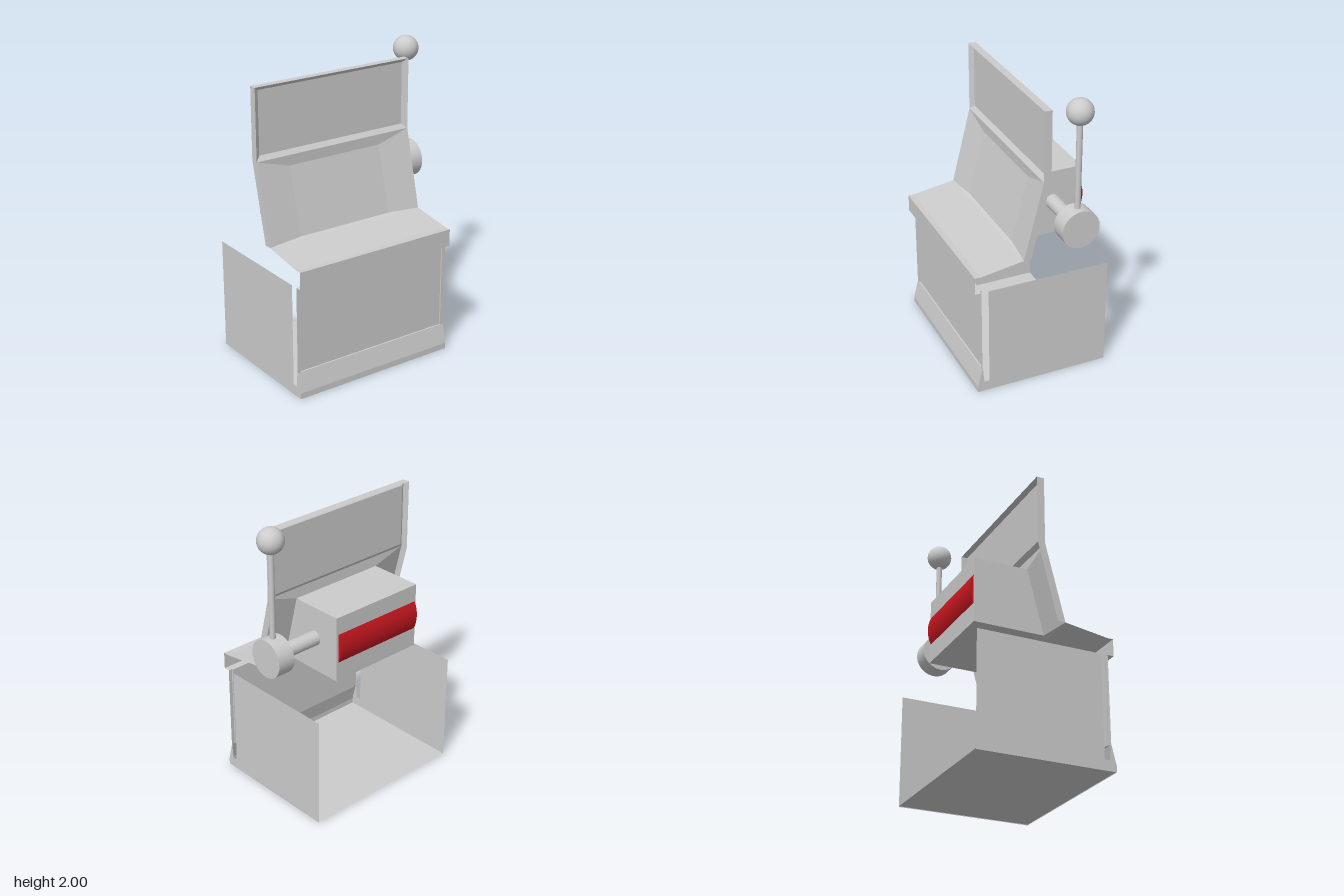
import * as THREE from 'three';

const L = -0.68, R = 0.48; // cabinet sides
const BL = -0.44, BR = 0.25; // reel housing sides
const grey = new THREE.MeshStandardMaterial({ color: 0xcccccc });
const sheetGrey = new THREE.MeshStandardMaterial({ color: 0xcccccc, side: THREE.DoubleSide });
const red = new THREE.MeshStandardMaterial({ color: 0xc4161f });

// Mesh from flat four-cornered faces
function faces(name, quads) {
  const pos = [];
  for (const [a, b, c, d] of quads) pos.push(...a, ...b, ...c, ...a, ...c, ...d);
  const geo = new THREE.BufferGeometry();
  geo.setAttribute('position', new THREE.Float32BufferAttribute(pos, 3));
  geo.computeVertexNormals();
  const mesh = new THREE.Mesh(geo, sheetGrey);
  mesh.name = name;
  return mesh;
}

// Folded sheet: a [z, y] profile swept from x0 to x1
function sheet(name, profile, x0, x1) {
  const quads = [];
  for (let i = 0; i < profile.length - 1; i++) {
    const [z0, y0] = profile[i], [z1, y1] = profile[i + 1];
    quads.push([[x0, y0, z0], [x1, y0, z0], [x1, y1, z1], [x0, y1, z1]]);
  }
  return faces(name, quads);
}

// Rectangle corners, with bottom and top given as [z, y]
const rect = (x0, x1, [zb, yb], [zt, yt]) =>
  [[x0, yb, zb], [x1, yb, zb], [x1, yt, zt], [x0, yt, zt]];

// Bevelled band between an outer and an inner rectangle
const band = (outer, inner) => outer.map((p, i) => {
  const j = (i + 1) % 4;
  return [p, outer[j], inner[j], inner[i]];
});

// Flat plate in the zy plane at x
function plate(name, profile, x) {
  const shape = new THREE.Shape(profile.map(([z, y]) => new THREE.Vector2(-z, y)));
  const mesh = new THREE.Mesh(new THREE.ShapeGeometry(shape), sheetGrey);
  mesh.rotation.y = Math.PI / 2;
  mesh.position.x = x;
  mesh.name = name;
  return mesh;
}

function cylinderX(name, radius, x0, x1, y, z, material, sides = 32) {
  const mesh = new THREE.Mesh(new THREE.CylinderGeometry(radius, radius, x1 - x0, sides), material);
  mesh.rotation.z = Math.PI / 2;
  mesh.position.set((x0 + x1) / 2, y, z);
  mesh.name = name;
  return mesh;
}

function lowerCabinet() {
  const g = new THREE.Group();
  g.name = 'lowerCabinet';
  g.add(sheet('floor', [[-0.46, 0.005], [0.45, 0.005]], L, R));

  // Side panels with a toe and a slot behind the front
  const side = [[-0.46, 0], [0.45, 0], [0.45, 0.04], [0.415, 0.18], [0.405, 0.07],
    [0.37, 0.07], [0.37, 0.75], [-0.46, 0.75]];
  g.add(plate('rightSidePanel', side, L), plate('leftSidePanel', side, R));

  // Kick plate, projecting ledge and sloping deck
  g.add(sheet('kickPlate', [[0.45, 0], [0.45, 0.04], [0.418, 0.17]], L, R));
  g.add(sheet('ledge', [[0.418, 0.75], [0.46, 0.75], [0.46, 0.865], [0.42, 0.865]], L, R));
  g.add(sheet('deck', [[0.42, 0.865], [0.13, 0.91]], L, R));

  // Recessed front door and its narrow frame
  const outer = rect(L + 0.025, R - 0.025, [0.418, 0.17], [0.418, 0.75]);
  const inner = rect(L + 0.025, R - 0.025, [0.408, 0.17], [0.408, 0.75]);
  g.add(faces('frontDoor', [inner, ...band(outer, inner)]));
  g.add(faces('doorFrame', [
    rect(L, L + 0.025, [0.418, 0.17], [0.418, 0.75]),
    rect(R - 0.025, R, [0.418, 0.17], [0.418, 0.75]),
  ]));
  return g;
}

function upperCabinet() {
  const g = new THREE.Group();
  g.name = 'upperCabinet';
  const side = [[0.13, 0.91], [0, 1.43], [0, 1.9], [-0.05, 1.9], [-0.05, 1.43], [0.08, 0.91]];
  g.add(plate('rightFlange', side, L), plate('leftFlange', side, R));
  g.add(sheet('topFlange', [[0, 1.9], [-0.05, 1.9]], L, R));

  // Sunken upper sign panel
  const signInner = rect(L + 0.035, R - 0.035, [-0.025, 1.46], [-0.025, 1.875]);
  g.add(faces('signPanel', [signInner, ...band(rect(L, R, [0, 1.43], [0, 1.9]), signInner)]));

  // Slanted surround leading in to the reel window
  g.add(faces('windowSurround', band(
    rect(L, R, [0.13, 0.91], [0, 1.43]),
    rect(BL, BR, [0.107, 0.92], [-0.003, 1.36]))));

  // Reel housing, whose slanted front is the window
  const profile = [[-0.37, 0.92], [0.107, 0.92], [-0.003, 1.36], [-0.37, 1.36]];
  const shape = new THREE.Shape(profile.map(([z, y]) => new THREE.Vector2(-z, y)));
  const housing = new THREE.Mesh(
    new THREE.ExtrudeGeometry(shape, { depth: BR - BL, bevelEnabled: false }), grey);
  housing.rotation.y = Math.PI / 2;
  housing.position.x = BL;
  housing.name = 'reelHousing';
  g.add(housing);

  // Reel drum showing through the back
  g.add(cylinderX('reelDrum', 0.213, BL + 0.008, BR - 0.015, 1.145, -0.181, red, 48));
  return g;
}

function lever() {
  const g = new THREE.Group();
  g.name = 'lever';
  const x = 0.592, y = 1.15, z = -0.173;
  g.add(cylinderX('leverShaft', 0.048, BR - 0.01, 0.54, y, z, grey));
  g.add(cylinderX('leverHub', 0.126, 0.53, 0.65, y, z, grey, 40));
  const arm = new THREE.Mesh(new THREE.CylinderGeometry(0.019, 0.019, 0.6, 16), grey);
  arm.position.set(x, 1.56, z);
  arm.name = 'leverArm';
  const knob = new THREE.Mesh(new THREE.SphereGeometry(0.084, 32, 20), grey);
  knob.position.set(x, 1.916, z);
  knob.name = 'leverKnob';
  g.add(arm, knob);
  return g;
}

export function createModel() {
  const model = new THREE.Group();
  model.name = 'reelMachine';
  model.add(lowerCabinet(), upperCabinet(), lever());
  return model;
}
